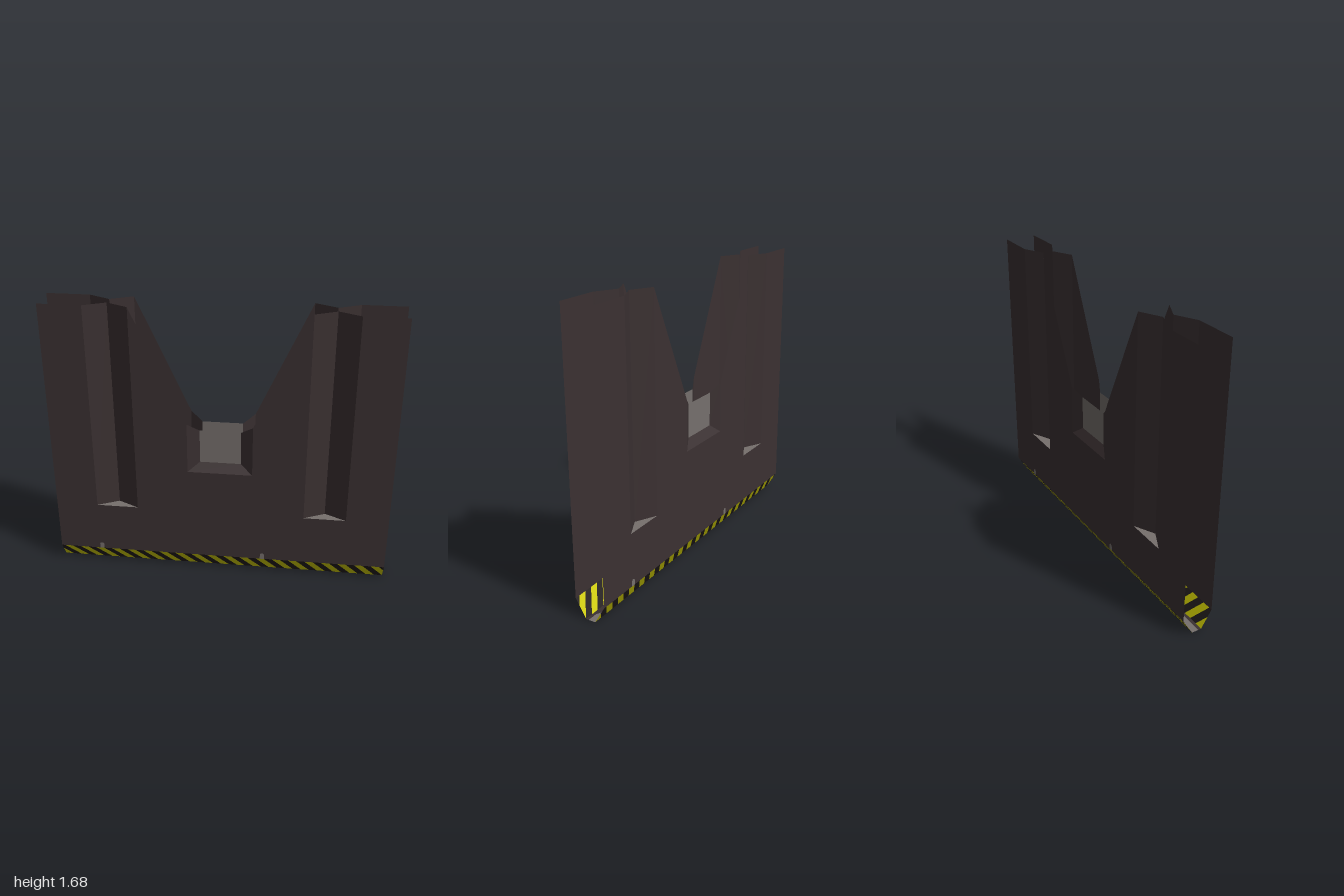
import * as THREE from 'three';

const mat = (name, color) => new THREE.MeshStandardMaterial({ name, color, side: THREE.DoubleSide });

// Geometry from a list of four-cornered faces, corners counter-clockwise from outside
function quads(list) {
  const pos = [];
  for (const [a, b, c, d] of list) pos.push(...a, ...b, ...c, ...a, ...c, ...d);
  const g = new THREE.BufferGeometry();
  g.setAttribute('position', new THREE.Float32BufferAttribute(pos, 3));
  g.computeVertexNormals();
  return g;
}

function outline(points) {
  return new THREE.ShapeGeometry(new THREE.Shape(points.map(([x, y]) => new THREE.Vector2(x, y))));
}

const OUT = 0.093, IN = 0.03, PANE = 0.06; // depths of face, groove bottom and window
const TOP = 1.685, SKIRT = 0.105, SILL = 0.42;

// Slanted stripes over the sloping skirt, cut off at both ends
function stripes(offset) {
  const list = [], rows = 8, period = 0.1, lean = 0.08;
  const clamp = (x) => Math.max(-1, Math.min(1, x));
  for (let k = -1; k <= 21; k++) {
    for (let r = 0; r < rows; r++) {
      const row = (t) => {
        const x = -1 + k * period + offset - lean * t;
        const y = SKIRT * t, z = IN + (OUT - IN) * t;
        return [[clamp(x), y, z], [clamp(x + period / 2), y, z]];
      };
      const [a, b] = row(r / rows), [d, c] = row((r + 1) / rows);
      if (b[0] - a[0] > 1e-6 || c[0] - d[0] > 1e-6) list.push([a, b, c, d]);
    }
  }
  return quads(list);
}

export function createModel() {
  const dark = mat('dark metal', 0x3b3132);
  const black = mat('black paint', 0x221d1c);
  const yellow = mat('yellow paint', 0xcfcb00);
  const grey = mat('grey metal', 0x76706d);

  const model = new THREE.Group();
  model.name = 'gatePanel';

  function buildSide(name) {
    const side = new THREE.Group();
    side.name = name;
    const add = (part, geometry, material) => {
      const m = new THREE.Mesh(geometry, material);
      m.name = part;
      side.add(m);
      return m;
    };

    // Flat sheet with the notch, window recess and groove slots left open
    const half = [[1, SKIRT], [1, TOP], [0.75, TOP], [0.75, SILL], [0.5, SILL], [0.5, TOP], [0.19, 1], [0.19, 0.69]];
    const mirrored = half.map(([x, y]) => [-x, y]).reverse();
    add('sheet', outline([...half, ...mirrored]), dark).position.z = OUT;

    // V-shaped vertical grooves with a small ledge at the foot
    for (const c of [-0.625, 0.625]) {
      const l = c - 0.125, r = c + 0.125;
      add('groove', quads([
        [[l, SILL, OUT], [c, SILL, IN], [c, TOP, IN], [l, TOP, OUT]],
        [[c, SILL, IN], [r, SILL, OUT], [r, TOP, OUT], [c, TOP, IN]],
      ]), dark);
      add('grooveLedge', quads([
        [[l, SILL, OUT], [r, SILL, OUT], [c, SILL, IN], [c, SILL, IN]],
      ]), grey);
    }

    // Sloping recess around the window
    const [ox, ix, ob, ib, ot, it] = [0.19, 0.12, 0.69, 0.745, 1, 0.95];
    add('windowRecess', quads([
      [[-ox, ob, OUT], [ox, ob, OUT], [ix, ib, PANE], [-ix, ib, PANE]],
      [[-ox, ob, OUT], [-ix, ib, PANE], [-ix, it, PANE], [-ox, ot, OUT]],
      [[ix, ib, PANE], [ox, ob, OUT], [ox, ot, OUT], [ix, it, PANE]],
    ]), dark);
    add('window', quads([
      [[-ix, ib, PANE], [ix, ib, PANE], [ix, it, PANE], [-ix, it, PANE]],
    ]), grey);

    // Hazard striped skirt
    add('yellowStripes', stripes(0), yellow);
    add('blackStripes', stripes(0.05), black);

    // Small worn marks just above the skirt
    for (const x of [-0.74, 0.26]) {
      add('wornMark', outline([
        [x - 0.013, SKIRT], [x + 0.013, SKIRT], [x + 0.013, 0.135], [x + 0.005, 0.145], [x - 0.007, 0.145], [x - 0.013, 0.135],
      ]), grey).position.z = OUT + 0.001;
    }
    return side;
  }

  const front = buildSide('frontSide');
  const back = buildSide('backSide');
  back.rotation.y = Math.PI;
  model.add(front, back);

  // Narrow underside, split lengthwise into grey and dark along a wavy edge
  const edge = [];
  for (const x of [-0.63, -0.14, 0.37, 0.83]) {
    edge.push([x - 0.11, 0.012], [x - 0.05, -0.018], [x + 0.05, -0.018], [x + 0.11, 0.012]);
  }
  const path = [[-1, 0.012], ...edge, [1, 0.012]];
  const strip = (zFar) => quads(path.slice(1).map(([x, z], i) => {
    const [px, pz] = path[i];
    const far = [[px, 0, zFar], [x, 0, zFar]], near = [[px, 0, pz], [x, 0, z]];
    return zFar < 0 ? [far[0], far[1], near[1], near[0]] : [near[0], near[1], far[1], far[0]];
  }));
  for (const [name, z, m] of [['undersideGrey', -IN, grey], ['undersideDark', IN, dark]]) {
    const mesh = new THREE.Mesh(strip(z), m);
    mesh.name = name;
    model.add(mesh);
  }
  return model;
}
